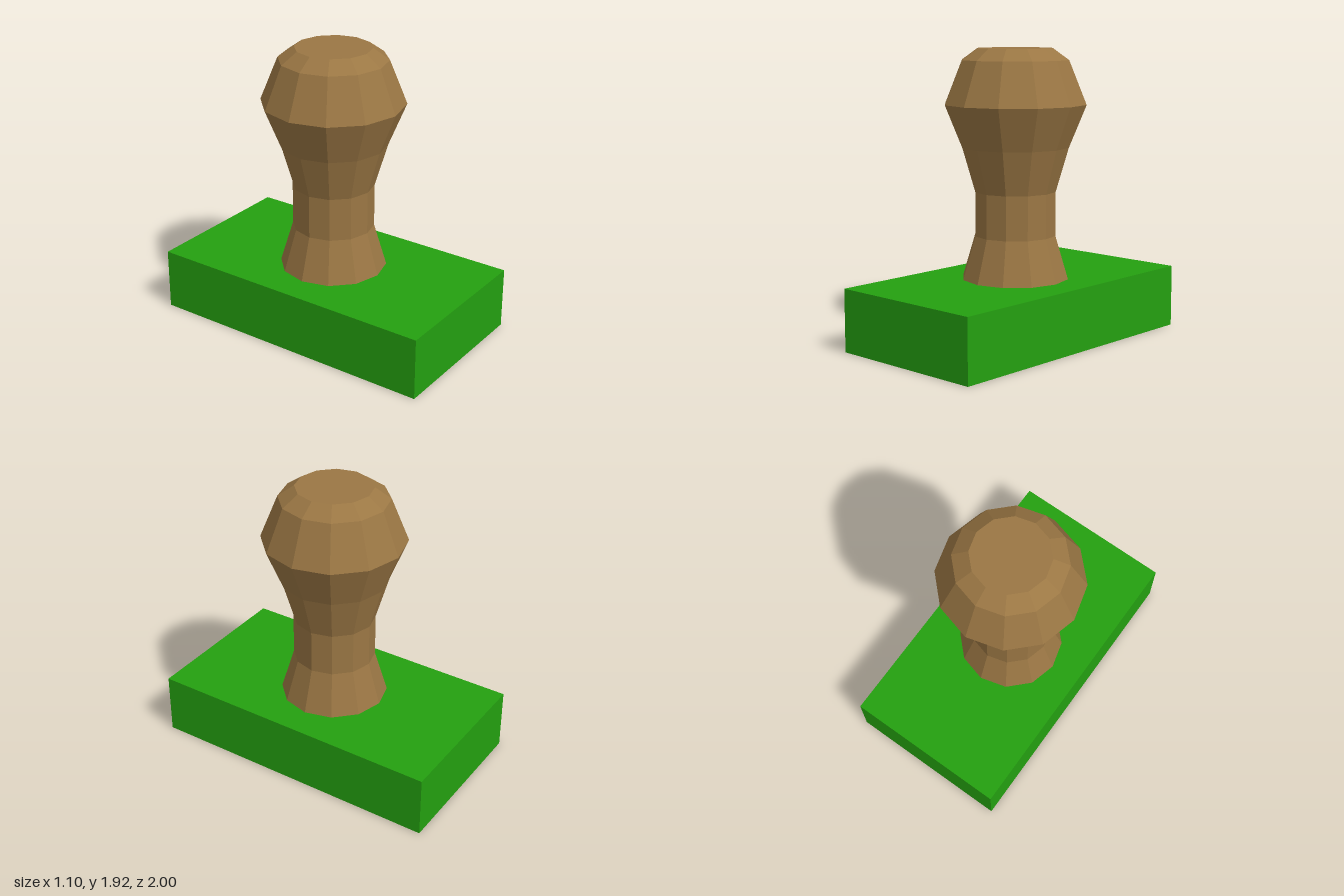
import * as THREE from 'three';

export function createModel() {
  const model = new THREE.Group();
  model.name = 'handStamp';

  const baseHeight = 0.415;

  // Rectangular block
  const base = new THREE.Mesh(
    new THREE.BoxGeometry(1.1, baseHeight, 2),
    new THREE.MeshStandardMaterial({ color: 0x24a010 })
  );
  base.name = 'base';
  base.position.y = baseHeight / 2;
  model.add(base);

  // Twelve-sided turned handle: flared foot, narrow neck, wide knob, flat top
  const profile = [
    [0, baseHeight],
    [0.355, baseHeight],
    [0.27, 0.7],
    [0.27, 0.99],
    [0.355, 1.28],
    [0.47, 1.56],
    [0.355, 1.845],
    [0.25, 1.92],
    [0, 1.92],
  ].map(([r, y]) => new THREE.Vector2(r, y));
  const handle = new THREE.Mesh(
    new THREE.LatheGeometry(profile, 12),
    new THREE.MeshStandardMaterial({ color: 0x9b7744, flatShading: true })
  );
  handle.name = 'handle';
  model.add(handle);

  return model;
}
